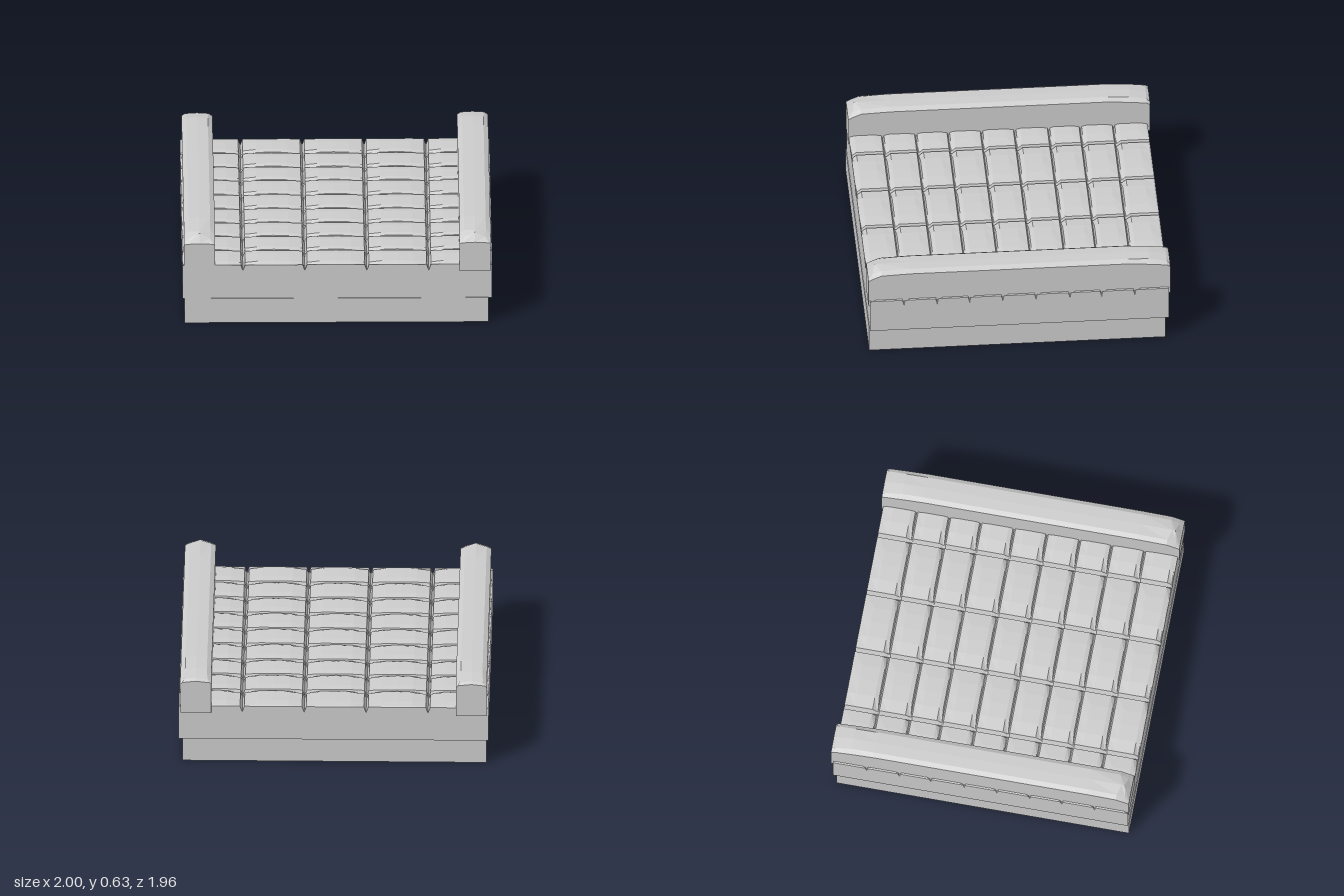
import * as THREE from 'three';

const stone = new THREE.MeshStandardMaterial({ color: 0xcccccc, flatShading: true });

function add(group, name, geometry, x = 0, y = 0, z = 0) {
  const mesh = new THREE.Mesh(geometry, stone);
  mesh.name = name;
  mesh.position.set(x, y, z);
  group.add(mesh);
  return mesh;
}

// Paved slab: a unit box whose grid is remapped to tile seams and whose top is carved by a rule
const seamX = [-1, -0.61, -0.21, 0.19, 0.59, 1];
const seamZ = [-0.97, -0.75, -0.535, -0.33, -0.11, 0.105, 0.32, 0.53, 0.745, 0.965];
const fracX = [0, 0.035, 0.25, 0.5, 0.75, 0.965];
const fracZ = [0, 0.045, 0.3, 0.84, 0.965];
const dropX = [0.055, 0.013, 0.003, 0, 0.003, 0.013];
const dropZ = [0.035, 0.008, 0, 0, 0.008];
const chip = [0, 0.022, 0.004, 0, 0.004, 0.022];

function locate(t, seams, frac) {
  const n = frac.length;
  const i = Math.round((t + 0.5) * (seams.length - 1) * n);
  const cell = Math.floor(i / n), k = i % n;
  const a = seams[cell], b = seams[cell + 1] ?? a;
  const border = cell === seams.length - 1 || i === 0;
  return { k, border, pos: a + (b - a) * frac[k] };
}

function pavedSlab() {
  const nx = (seamX.length - 1) * fracX.length, nz = (seamZ.length - 1) * fracZ.length;
  const geo = new THREE.BoxGeometry(1, 1, 1, nx, 1, nz);
  const p = geo.attributes.position;
  for (let v = 0; v < p.count; v++) {
    const x = locate(p.getX(v), seamX, fracX);
    const z = locate(p.getZ(v), seamZ, fracZ);
    const dx = x.border ? 0.018 : dropX[x.k];
    const dz = z.border ? 0.014 : dropZ[z.k];
    let drop = Math.max(dx, dz);
    if (z.k === 4) drop += chip[x.k]; // worn front corners
    if (z.k === 0 && !z.border && (x.border || x.k === 0)) drop = 0.06;
    p.setXYZ(v, x.pos, p.getY(v) > 0 ? 0.422 - drop : 0.17, z.pos);
  }
  geo.computeVertexNormals();
  return geo;
}

// Kerb: cross-sections lofted from back to front, with worn ends
// [z, shoulder height, top height, crown height, inset, crown z shift]
const kerbSections = [
  [-0.98, 0.565, 0.58, 0.59, 0.012, 0],
  [-0.96, 0.58, 0.597, 0.602, 0.025, 0],
  [-0.85, 0.592, 0.615, 0.62, 0.03, 0],
  [-0.7, 0.603, 0.622, 0.625, 0.03, 0],
  [0.7, 0.603, 0.622, 0.625, 0.03, 0],
  [0.89, 0.595, 0.612, 0.622, 0.03, 0.02],
  [0.945, 0.572, 0.59, 0.618, 0.035, -0.015],
  [0.975, 0.555, 0.56, 0.565, 0.012, 0],
];

function kerb() {
  const pos = [], idx = [], n = 7, w = 0.1;
  for (const [z, shoulder, top, crown, inset, shift] of kerbSections) {
    pos.push(
      w, 0.36, z, w, shoulder, z, w - inset, top, z, 0, crown, z + shift,
      inset - w, top, z, -w, shoulder, z, -w, 0.36, z);
  }
  const last = (kerbSections.length - 1) * n;
  for (let r = 0; r < last; r += n) {
    for (let j = 0; j < n; j++) {
      const a = r + j, b = r + (j + 1) % n;
      idx.push(a, b, b + n, a, b + n, a + n);
    }
  }
  // end caps
  for (let j = 1; j < n - 1; j++) {
    idx.push(0, j + 1, j, last, last + j, last + j + 1);
  }
  const geo = new THREE.BufferGeometry();
  geo.setAttribute('position', new THREE.Float32BufferAttribute(pos, 3));
  geo.setIndex(idx);
  geo.computeVertexNormals();
  return geo;
}

export function createModel() {
  const group = new THREE.Group();
  group.name = 'pavedWalkway';
  add(group, 'base', new THREE.BoxGeometry(1.965, 0.172, 1.92), -0.005, 0.086, 0.01);
  add(group, 'pavedSlab', pavedSlab());
  const kerbGeometry = kerb();
  add(group, 'leftKerb', kerbGeometry, 0.89, 0.003, 0);
  add(group, 'rightKerb', kerbGeometry, -0.89, -0.003, -0.006);
  return group;
}
